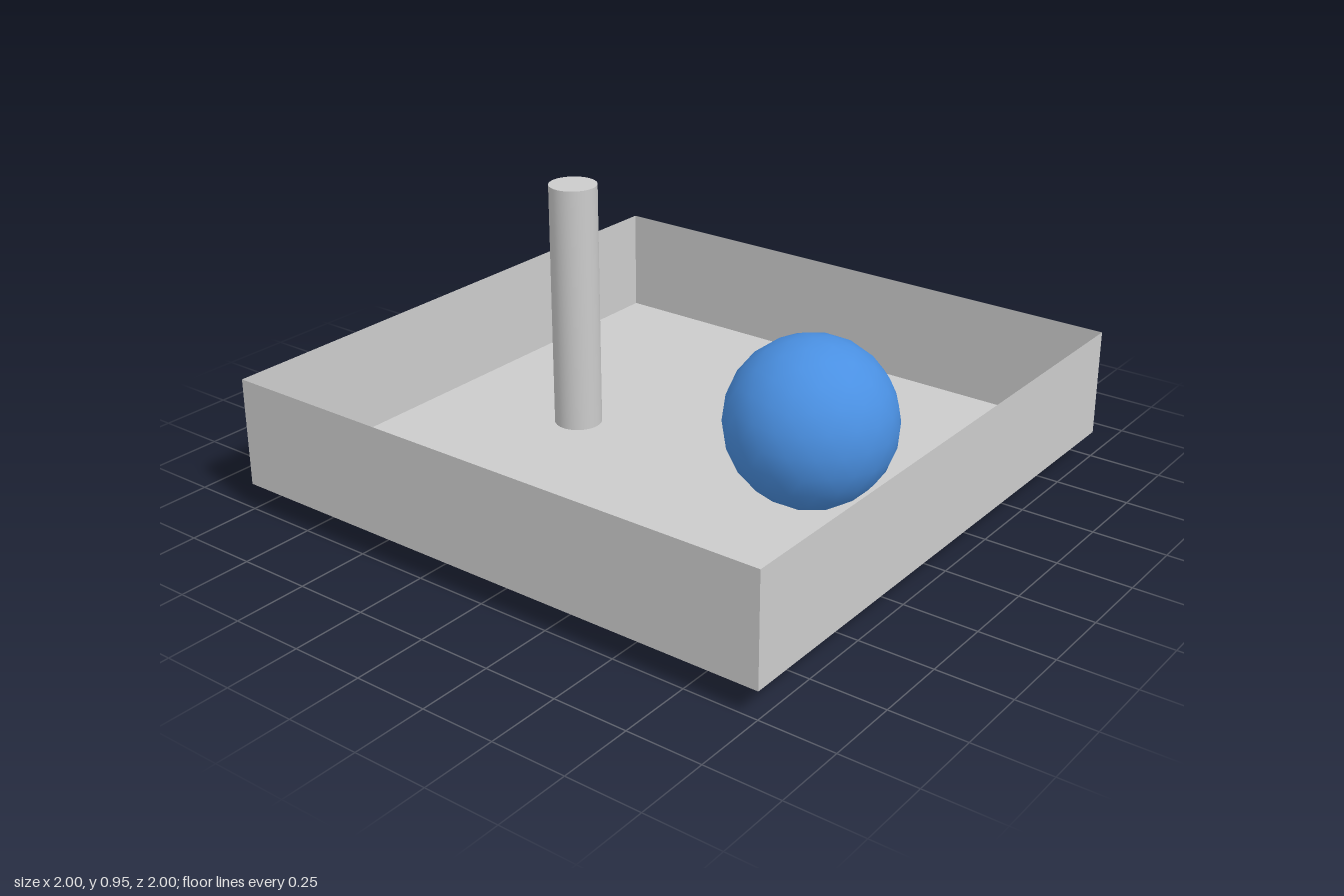
import * as THREE from 'three';

export function createModel() {
  const model = new THREE.Group();
  const grey = new THREE.MeshStandardMaterial({ color: 0xcccccc });
  const thin = new THREE.MeshStandardMaterial({ color: 0xcccccc, side: THREE.DoubleSide });
  const blue = new THREE.MeshStandardMaterial({ color: 0x4a90e2 });

  const add = (name, geometry, material, parent = model) => {
    const mesh = new THREE.Mesh(geometry, material);
    mesh.name = name;
    parent.add(mesh);
    return mesh;
  };

  // Open square tray made of thin sheets
  const bottom = 0.09, height = 0.37;
  const tray = new THREE.Group();
  tray.name = 'tray';
  tray.position.y = bottom;
  model.add(tray);
  add('trayFloor', new THREE.PlaneGeometry(2, 2).rotateX(-Math.PI / 2), thin, tray);
  ['frontWall', 'leftWall', 'backWall', 'rightWall'].forEach((name, i) => {
    const wall = new THREE.PlaneGeometry(2, height).translate(0, height / 2, 1);
    add(name, wall.rotateY(i * Math.PI / 2), thin, tray);
  });

  // Post running through the floor
  add('post', new THREE.CylinderGeometry(0.082, 0.082, 0.95, 32), grey)
    .position.set(0.01, 0.475, -0.47);

  // Ball resting on the floor, turned so a corner points straight up
  const radius = 0.28;
  const ball = new THREE.IcosahedronGeometry(radius, 3);
  ball.rotateX(-Math.atan((1 + Math.sqrt(5)) / 2));
  add('ball', ball, blue).position.set(-0.02, bottom + radius + 0.005, 0.51);

  return model;
}
